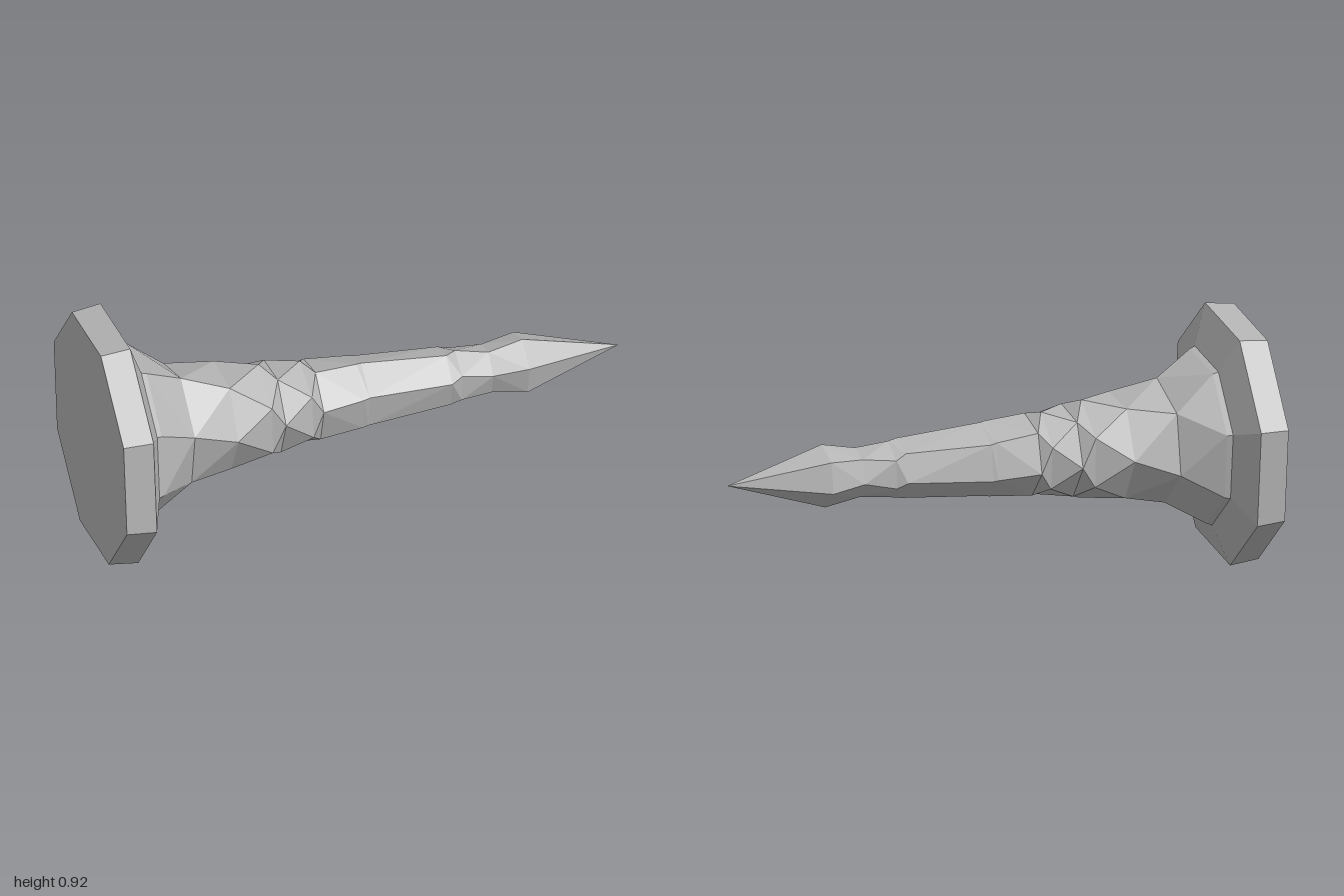
import * as THREE from 'three';

const AXIS_Y = 0.462;

// A ring is [x, radius, sides, rotation in degrees]; one side means a centre point.
function ringPoint([x, r, n, rot], k) {
  const a = THREE.MathUtils.degToRad(rot + (k * 360) / n);
  return [x, AXIS_Y + r * Math.sin(a), r * Math.cos(a)];
}

// Join two rings of any side counts with a band of triangles, walking round by angle.
function bandBetween(a, b, out) {
  const stepA = 360 / a[2], stepB = 360 / b[2];
  const rotB = b[3] - Math.round((b[3] - a[3]) / stepB) * stepB;
  const ringB = [b[0], b[1], b[2], rotB];
  const countA = a[2] > 1 ? a[2] : 0, countB = b[2] > 1 ? b[2] : 0;
  let i = 0, j = 0;
  while (i < countA || j < countB) {
    const nextA = a[3] + (i + 1) * stepA, nextB = rotB + (j + 1) * stepB;
    const moveA = j >= countB || (i < countA && nextA <= nextB);
    const pA = ringPoint(a, i), pB = ringPoint(ringB, j);
    if (moveA) out.push(...pA, ...pB, ...ringPoint(a, ++i));
    else out.push(...pA, ...pB, ...ringPoint(ringB, ++j));
  }
}

function loft(name, rings, material) {
  const positions = [];
  for (let k = 0; k + 1 < rings.length; k++) bandBetween(rings[k], rings[k + 1], positions);
  const geometry = new THREE.BufferGeometry();
  geometry.setAttribute('position', new THREE.Float32BufferAttribute(positions, 3));
  geometry.computeVertexNormals(); // unshared corners keep every facet flat
  const mesh = new THREE.Mesh(geometry, material);
  mesh.name = name;
  return mesh;
}

export function createModel() {
  const iron = new THREE.MeshStandardMaterial({ color: 0xb4b4b4 });
  iron.name = 'grey iron';
  const group = new THREE.Group();
  group.name = 'nail';

  // Octagonal head with a closed back and a bevelled front
  const headFront = [-0.835, 0.326, 8, 29];
  group.add(loft('head', [
    [-1, 0, 1, 0], [-1, 0.465, 8, 29], [-0.89, 0.478, 8, 29], headFront,
  ], iron));

  // Flared collar going from eight sides to six
  const collarEnd = [-0.67, 0.228, 6, 19.5];
  group.add(loft('collar', [headFront, [-0.815, 0.318, 8, 29], collarEnd], iron));

  // Hammered upper shaft: hexagons turned against each other
  const shaftMiddle = [0, 0.138, 6, 20];
  group.add(loft('upperShaft', [
    collarEnd, [-0.5, 0.198, 6, 3], [-0.36, 0.188, 6, 33],
    [-0.31, 0.17, 6, 8], [-0.2, 0.163, 6, 38], [-0.16, 0.15, 6, 14], shaftMiddle,
  ], iron));

  // Straighter lower shaft narrowing to a neck
  const neck = [0.5, 0.09, 6, 14];
  group.add(loft('lowerShaft', [
    shaftMiddle, [0.02, 0.135, 6, 22], [0.34, 0.109, 6, 16], [0.38, 0.105, 6, 28], neck,
  ], iron));

  // Swollen point
  group.add(loft('point', [neck, [0.63, 0.115, 6, 20], [1, 0, 1, 0]], iron));
  return group;
}
